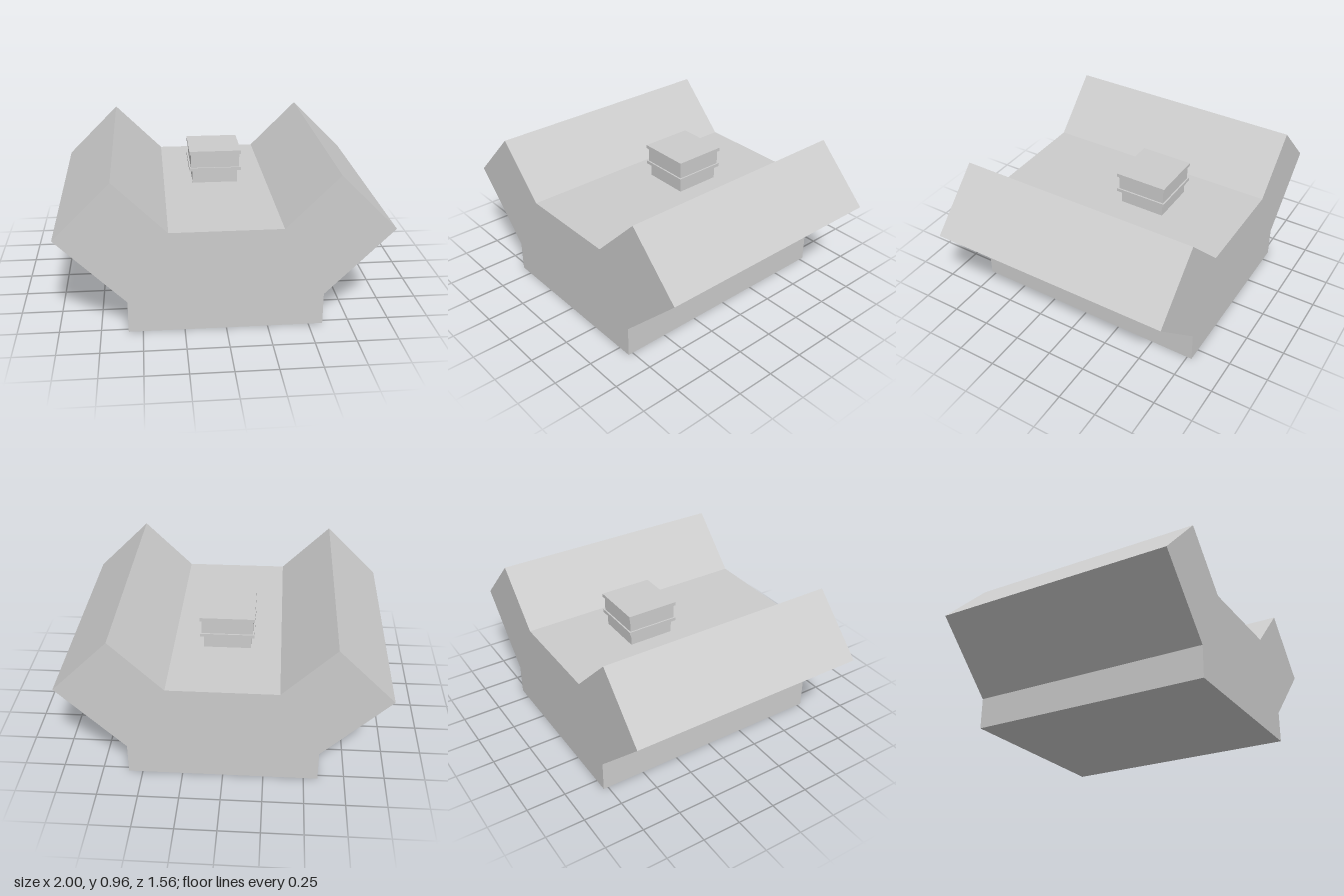
import * as THREE from 'three';

export function createModel() {
  const model = new THREE.Group();
  const material = new THREE.MeshStandardMaterial({ color: 0xcccccc, flatShading: true });

  const add = (parent, name, geometry) => {
    const mesh = new THREE.Mesh(geometry, material);
    mesh.name = name;
    parent.add(mesh);
    return mesh;
  };

  // Body: mirrored cross-section with flared wings, extruded along z
  const half = [[0.587, 0], [0.587, 0.2], [1, 0.613], [0.655, 0.957], [0.337, 0.638]];
  const outline = [...half, ...half.map(([x, y]) => [-x, y]).reverse()];
  const shape = new THREE.Shape(outline.map(([x, y]) => new THREE.Vector2(x, y)));
  const depth = 1.56;
  const body = new THREE.ExtrudeGeometry(shape, { depth, bevelEnabled: false });
  body.translate(0, 0, -depth / 2);
  add(model, 'body', body);

  // Square tower of stacked blocks and thin plates: name, width, bottom, top
  const tower = new THREE.Group();
  tower.name = 'tower';
  tower.position.z = -0.16;
  model.add(tower);
  const layers = [
    ['towerBase', 0.295, 0.638, 0.725],
    ['lowerPlate', 0.338, 0.725, 0.746],
    ['towerBlock', 0.318, 0.746, 0.837],
    ['topPlate', 0.338, 0.837, 0.86],
  ];
  for (const [name, width, bottom, top] of layers) {
    const layer = add(tower, name, new THREE.BoxGeometry(width, top - bottom, width));
    layer.position.y = (bottom + top) / 2;
  }

  return model;
}
